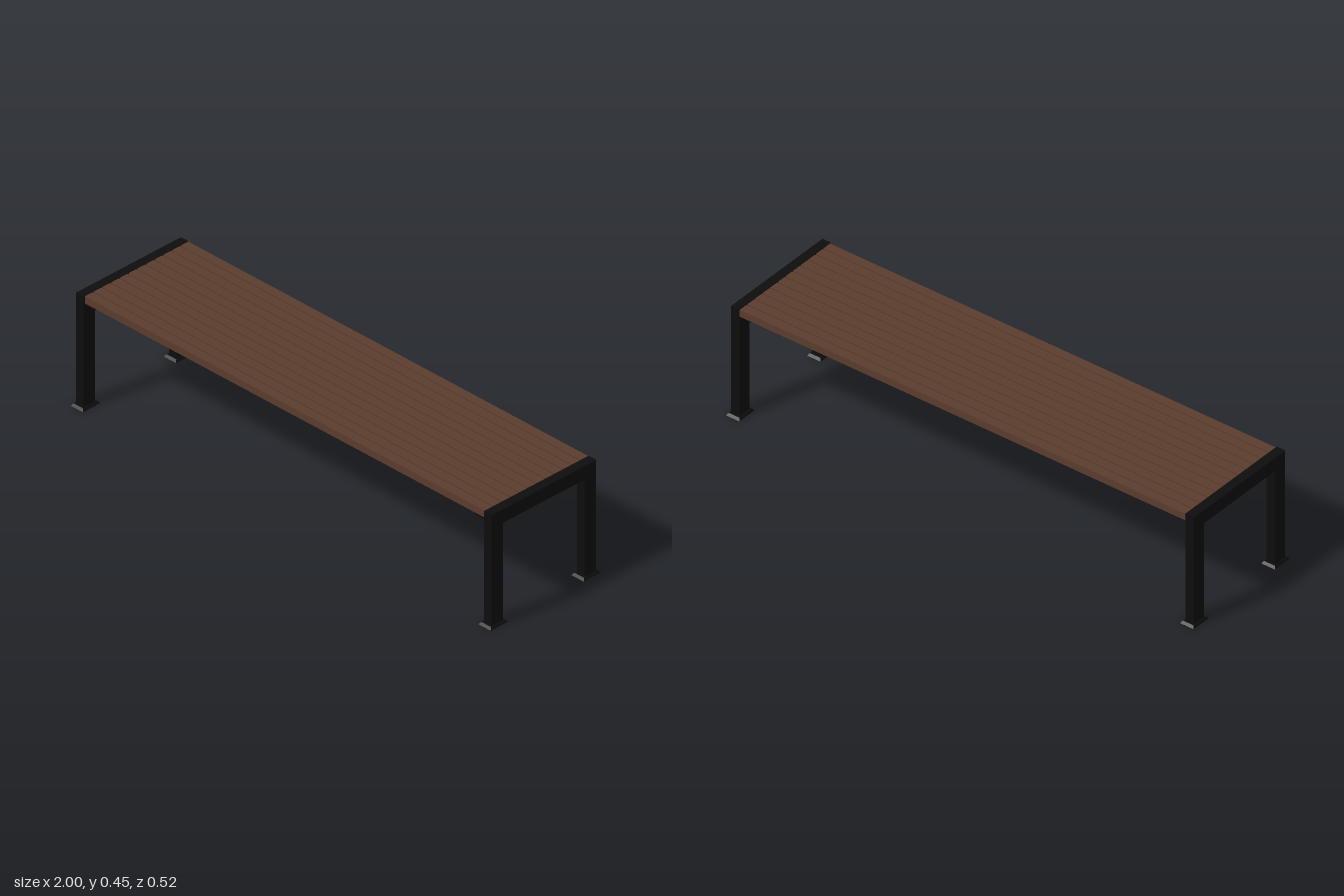
import * as THREE from 'three';

const wood = new THREE.MeshStandardMaterial({ name: 'brown wood', color: 0x5a3c2d });
const metal = new THREE.MeshStandardMaterial({ name: 'black metal', color: 0x0d0d0d });

const LEG_X = 0.971, LEG_Z = 0.22, TOP = 0.448;

function add(parent, name, geometry, material, x = 0, y = 0, z = 0) {
  const mesh = new THREE.Mesh(geometry, material);
  mesh.name = name;
  mesh.position.set(x, y, z);
  parent.add(mesh);
  return mesh;
}

// Upside-down U: two legs and a crossbar, with slightly softened edges
function frameGeometry() {
  const b = 0.002, out = 0.248 - b, inner = 0.192 + b, under = 0.392 + b, top = TOP - b;
  const s = new THREE.Shape();
  s.moveTo(-out, 0.005);
  s.lineTo(-inner, 0.005);
  s.lineTo(-inner, under);
  s.lineTo(inner, under);
  s.lineTo(inner, 0.005);
  s.lineTo(out, 0.005);
  s.lineTo(out, top);
  s.lineTo(-out, top);
  s.closePath();
  const depth = 0.038 - 2 * b;
  const g = new THREE.ExtrudeGeometry(s, {
    depth, bevelEnabled: true, bevelThickness: b, bevelSize: b, bevelSegments: 1,
  });
  return g.translate(0, 0, -depth / 2).rotateY(Math.PI / 2);
}

// Foot plate whose top is narrower than its base
function footGeometry() {
  const h = 0.009;
  const g = new THREE.BoxGeometry(0.058, h, 0.083).toNonIndexed();
  const p = g.attributes.position;
  for (let i = 0; i < p.count; i++) {
    if (p.getY(i) > 0) p.setXYZ(i, p.getX(i) * 0.8, p.getY(i), p.getZ(i) * 0.82);
  }
  g.computeVertexNormals();
  return g.translate(0, h / 2, 0);
}

export function createModel() {
  const bench = new THREE.Group();
  bench.name = 'bench';

  const frame = frameGeometry();
  const foot = footGeometry();
  const shelf = new THREE.BoxGeometry(0.047, 0.007, 0.484);
  const flange = new THREE.BoxGeometry(0.006, 0.022, 0.38);

  // End frames, feet and the angle brackets carrying the slats
  for (const side of [-1, 1]) {
    const end = new THREE.Group();
    end.name = side > 0 ? 'leftEnd' : 'rightEnd';
    bench.add(end);
    add(end, 'legFrame', frame, metal, side * LEG_X);
    for (const z of [-LEG_Z, LEG_Z]) add(end, 'footPlate', foot, metal, side * LEG_X, 0, z);
    add(end, 'bracketShelf', shelf, metal, side * 0.9285, 0.4155, 0);
    add(end, 'bracketFlange', flange, metal, side * 0.949, 0.402, 0);
  }

  // Twelve narrow slats with thin gaps
  const seat = new THREE.Group();
  seat.name = 'seat';
  bench.add(seat);
  const count = 12, pitch = 0.0412;
  const slat = new THREE.BoxGeometry(1.904, 0.028, 0.036);
  for (let i = 0; i < count; i++) {
    add(seat, 'slat', slat, wood, 0, TOP - 0.015, -0.002 + (i - (count - 1) / 2) * pitch);
  }

  return bench;
}
